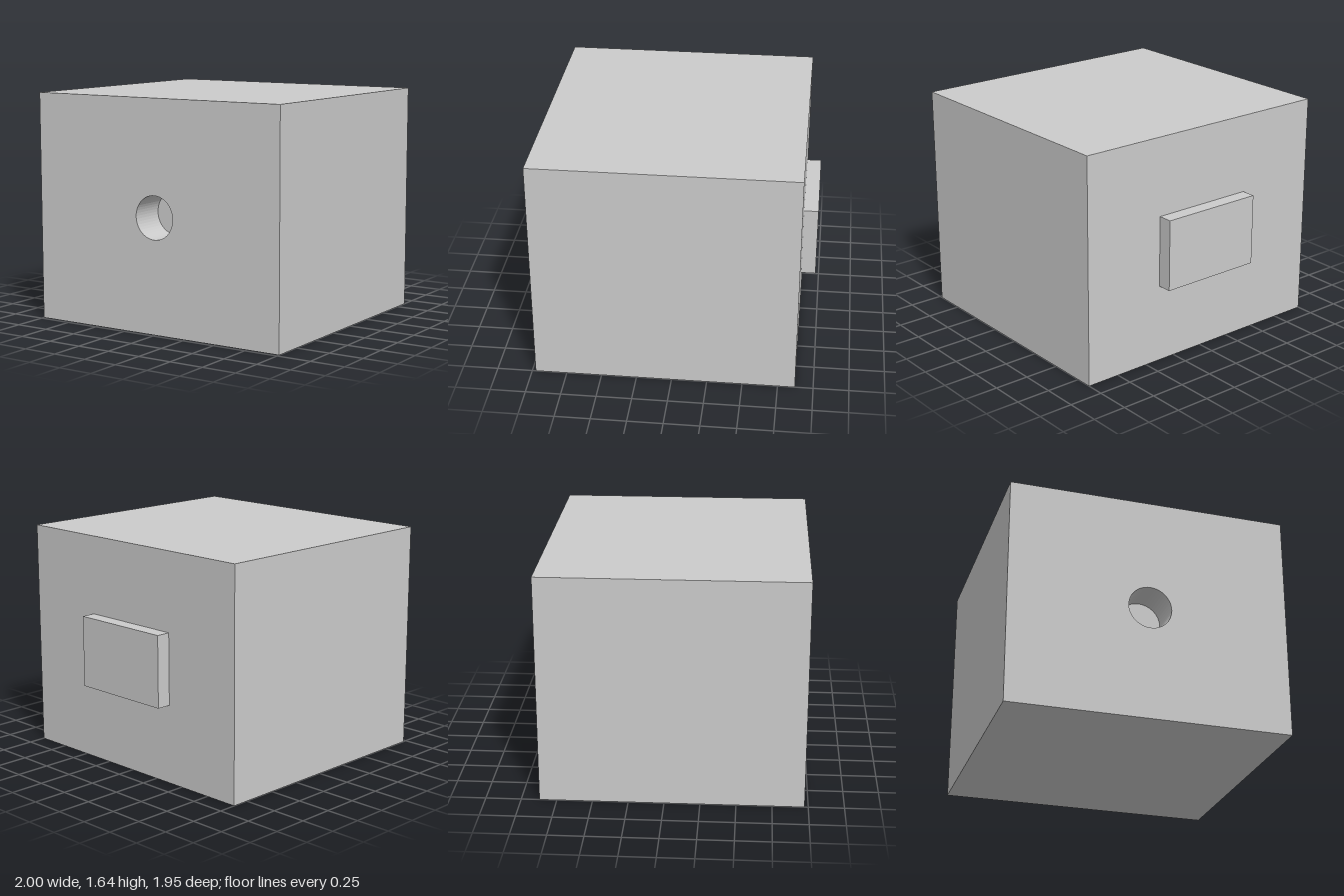
import * as THREE from 'three';

const U = 2 / 39; // one module: the body is 39 wide, 32 high, 36 deep
const W = 39 * U, H = 32 * U, D = 36 * U;
const PLATE = { w: 15 * U, h: 10 * U, d: 2 * U };
const HOLE = { r: 3 * U, depth: 5 * U, sides: 48 };

export function createModel() {
  const group = new THREE.Group();
  const material = new THREE.MeshStandardMaterial({ color: 0xcccccc });
  const add = (name, geometry, x, y, z) => {
    const mesh = new THREE.Mesh(geometry, material);
    mesh.name = name;
    mesh.position.set(x, y, z);
    group.add(mesh);
  };
  const front = (D + PLATE.d) / 2;
  const back = front - D;

  // Body: a box without its front side (+z is the fifth side, six indices each)
  const body = new THREE.BoxGeometry(W, H, D);
  const indices = Array.from(body.index.array);
  indices.splice(24, 6);
  body.setIndex(indices);
  body.clearGroups();
  add('body', body, 0, H / 2, front - D / 2);

  // Front face with a round opening
  const face = new THREE.Shape([
    new THREE.Vector2(-W / 2, -H / 2), new THREE.Vector2(W / 2, -H / 2),
    new THREE.Vector2(W / 2, H / 2), new THREE.Vector2(-W / 2, H / 2),
  ]);
  face.holes.push(new THREE.Path().absarc(0, 0, HOLE.r, 0, Math.PI * 2, true));
  add('frontFace', new THREE.ShapeGeometry(face, HOLE.sides / 2), 0, H / 2, front);

  // Blind bore: wall and floor, facing inwards
  const bore = new THREE.LatheGeometry([
    new THREE.Vector2(HOLE.r, 0),
    new THREE.Vector2(HOLE.r, -HOLE.depth),
    new THREE.Vector2(0, -HOLE.depth),
  ], HOLE.sides).toNonIndexed();
  bore.computeVertexNormals();
  bore.rotateX(Math.PI / 2);
  add('frontBore', bore, 0, H / 2, front);

  // Raised plate on the back
  add('backPlate', new THREE.BoxGeometry(PLATE.w, PLATE.h, PLATE.d), 0, H / 2, back - PLATE.d / 2);

  return group;
}
